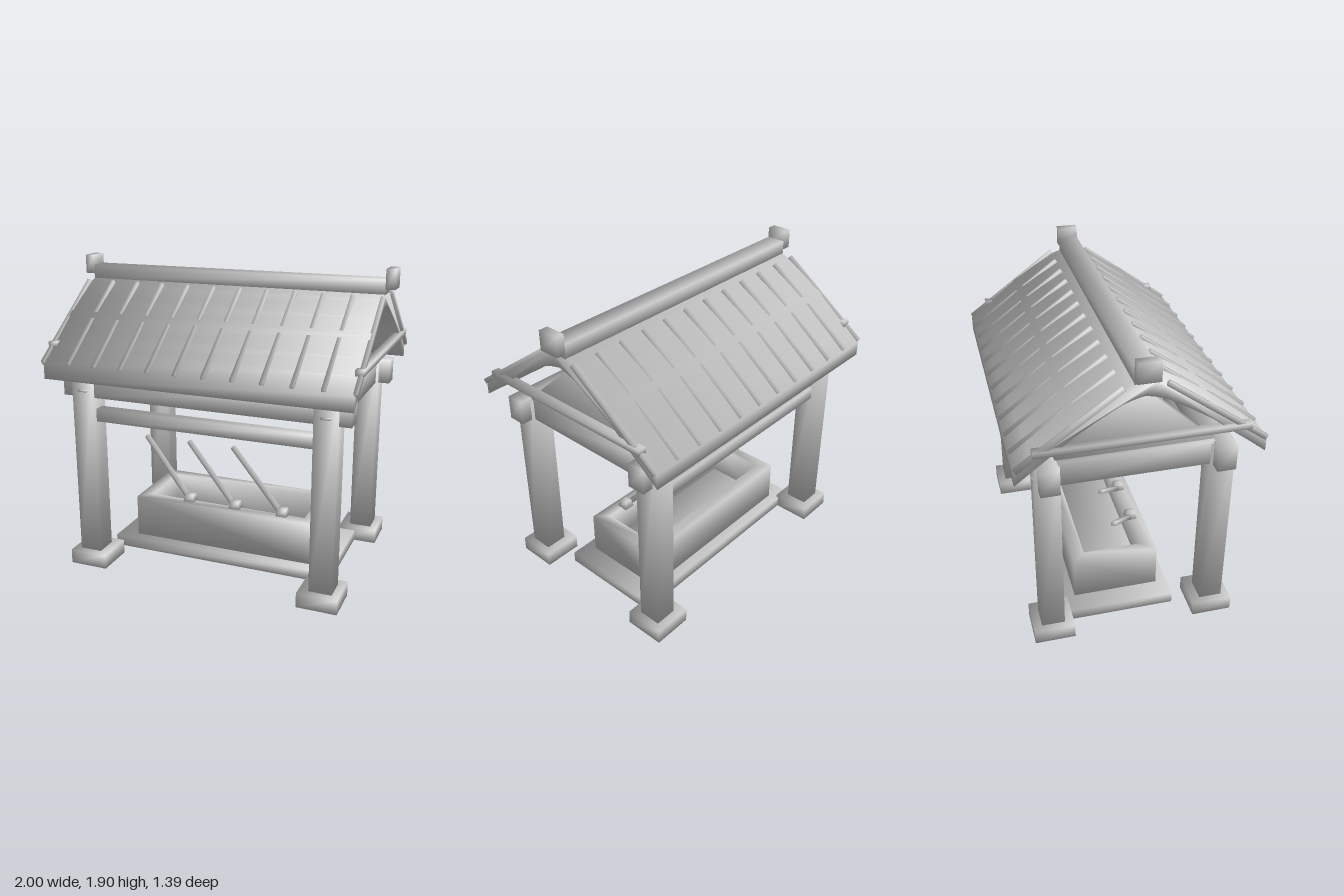
import * as THREE from 'three';
import { mergeVertices } from 'three/addons/utils/BufferGeometryUtils.js';

// weld the corners and give each an angle-weighted smooth normal
function soften(source) {
  source.deleteAttribute('normal');
  source.deleteAttribute('uv');
  const geo = mergeVertices(source, 1e-4);
  const pos = geo.attributes.position;
  const sums = Array.from({ length: pos.count }, () => new THREE.Vector3());
  for (let i = 0; i < geo.index.count; i += 3) {
    const ids = [0, 1, 2].map((k) => geo.index.getX(i + k));
    const p = ids.map((id) => new THREE.Vector3().fromBufferAttribute(pos, id));
    const normal = new THREE.Triangle(...p).getNormal(new THREE.Vector3());
    ids.forEach((id, k) => {
      const u = p[(k + 1) % 3].clone().sub(p[k]);
      const v = p[(k + 2) % 3].clone().sub(p[k]);
      sums[id].addScaledVector(normal, u.angleTo(v));
    });
  }
  const normals = sums.flatMap((n) => n.normalize().toArray());
  geo.setAttribute('normal', new THREE.Float32BufferAttribute(normals, 3));
  return geo;
}

export function createModel() {
  const model = new THREE.Group();
  model.name = 'wellPavilion';
  const mat = new THREE.MeshStandardMaterial({ color: 0xcccccc });

  function add(name, geo) {
    const mesh = new THREE.Mesh(soften(geo), mat);
    mesh.name = name;
    model.add(mesh);
    return mesh;
  }
  // box by centre and size
  function block(name, [x, y, z], [w, h, d]) {
    const mesh = add(name, new THREE.BoxGeometry(w, h, d));
    mesh.position.set(x, y, z);
    return mesh;
  }
  // (z, y) outline, symmetric in z, extruded along x around x = cx
  function prism(name, points, length, cx = 0) {
    const shape = new THREE.Shape(points.map(([z, y]) => new THREE.Vector2(z, y)));
    const geo = new THREE.ExtrudeGeometry(shape, { depth: length, bevelEnabled: false });
    return add(name, geo.translate(0, 0, -length / 2).rotateY(Math.PI / 2).translate(cx, 0, 0));
  }
  // straight bar between two points
  function bar(name, a, b, w, h) {
    const from = new THREE.Vector3(...a), to = new THREE.Vector3(...b);
    const mesh = add(name, new THREE.BoxGeometry(w, h, from.distanceTo(to)));
    mesh.position.copy(from).add(to).multiplyScalar(0.5);
    mesh.lookAt(to);
    return mesh;
  }

  // posts, feet and pegs
  for (const sx of [-1, 1]) {
    for (const sz of [-1, 1]) {
      block('foot', [sx * 0.753, 0.045, sz * 0.495], [0.245, 0.09, 0.245]);
      block('post', [sx * 0.76, 0.66, sz * 0.498], [0.14, 1.15, 0.14]);
      block('peg', [sx * 0.76, 1.148, sz * 0.556], [0.06, 0.014, 0.04]);
    }
  }

  // long beams and lower rails
  for (const sz of [-1, 1]) {
    block('longBeam', [0, 1.18, sz * 0.495], [1.8, 0.15, 0.11]);
    block('rail', [0, 0.992, sz * 0.5], [1.4, 0.08, 0.07]);
  }

  // cross beams, gables and tie bars at both ends
  for (const sx of [-1, 1]) {
    block('crossBeam', [sx * 0.76, 1.18, 0], [0.11, 0.15, 0.9]);
    prism('gable', [[-0.455, 1.25], [0.455, 1.25], [0, 1.66]], 0.06, sx * 0.76);
    block('tieBar', [sx * 0.939, 1.423, 0], [0.05, 0.034, 1.18]);
  }

  // curved roof shell
  const top = [[0, 1.77], [0.06, 1.755], [0.12, 1.733], [0.25, 1.656], [0.37, 1.578],
    [0.49, 1.482], [0.59, 1.405], [0.69, 1.325]];
  const outer = [...top.slice(1).reverse().map(([z, y]) => [-z, y]), ...top];
  const inner = outer.map(([z, y]) => [z, y - 0.09]).reverse();
  prism('roof', [...outer, ...inner].reverse(), 1.88);

  // straight roof ribs that sink into the curve midway
  for (let i = 0; i < 12; i++) {
    const x = -0.945 + i * (1.89 / 11);
    for (const sz of [-1, 1])
      bar('roofRib', [x, 1.33, sz * 0.684], [x, 1.743, sz * 0.115], 0.024, 0.03);
  }

  // ridge beam and end blocks
  block('ridge', [0, 1.795, 0], [1.885, 0.086, 0.12]);
  for (const sx of [-1, 1])
    block('ridgeEnd', [sx * 0.972, 1.842, 0], [0.056, 0.116, 0.126]);

  // basin: slab, four walls from a holed outline, floor
  block('slab', [0, 0.035, -0.053], [1.47, 0.07, 0.665]);
  const rect = (Type, hx, hz) => new Type([
    new THREE.Vector2(-hx, -hz), new THREE.Vector2(hx, -hz),
    new THREE.Vector2(hx, hz), new THREE.Vector2(-hx, hz)]);
  const rim = rect(THREE.Shape, 0.608, 0.265);
  rim.holes.push(rect(THREE.Path, 0.528, 0.185));
  const walls = new THREE.ExtrudeGeometry(rim, { depth: 0.27, bevelEnabled: false });
  add('basinWalls', walls.rotateX(-Math.PI / 2).translate(0, 0.07, -0.055));
  block('basinFloor', [0, 0.095, -0.055], [1.08, 0.07, 0.39]);

  // ladles: tapered cup and slanting handle
  for (let i = 0; i < 3; i++) {
    const x = -0.252 + i * 0.318;
    const cup = new THREE.CylinderGeometry(0.038, 0.052, 0.045, 4);
    add('ladleCup', cup.rotateY(Math.PI / 4)).position.set(x, 0.36, 0.135);
    bar('ladleHandle', [x - 0.02, 0.355, 0.125], [x - 0.425, 0.662, -0.09], 0.028, 0.025);
  }

  return model;
}
